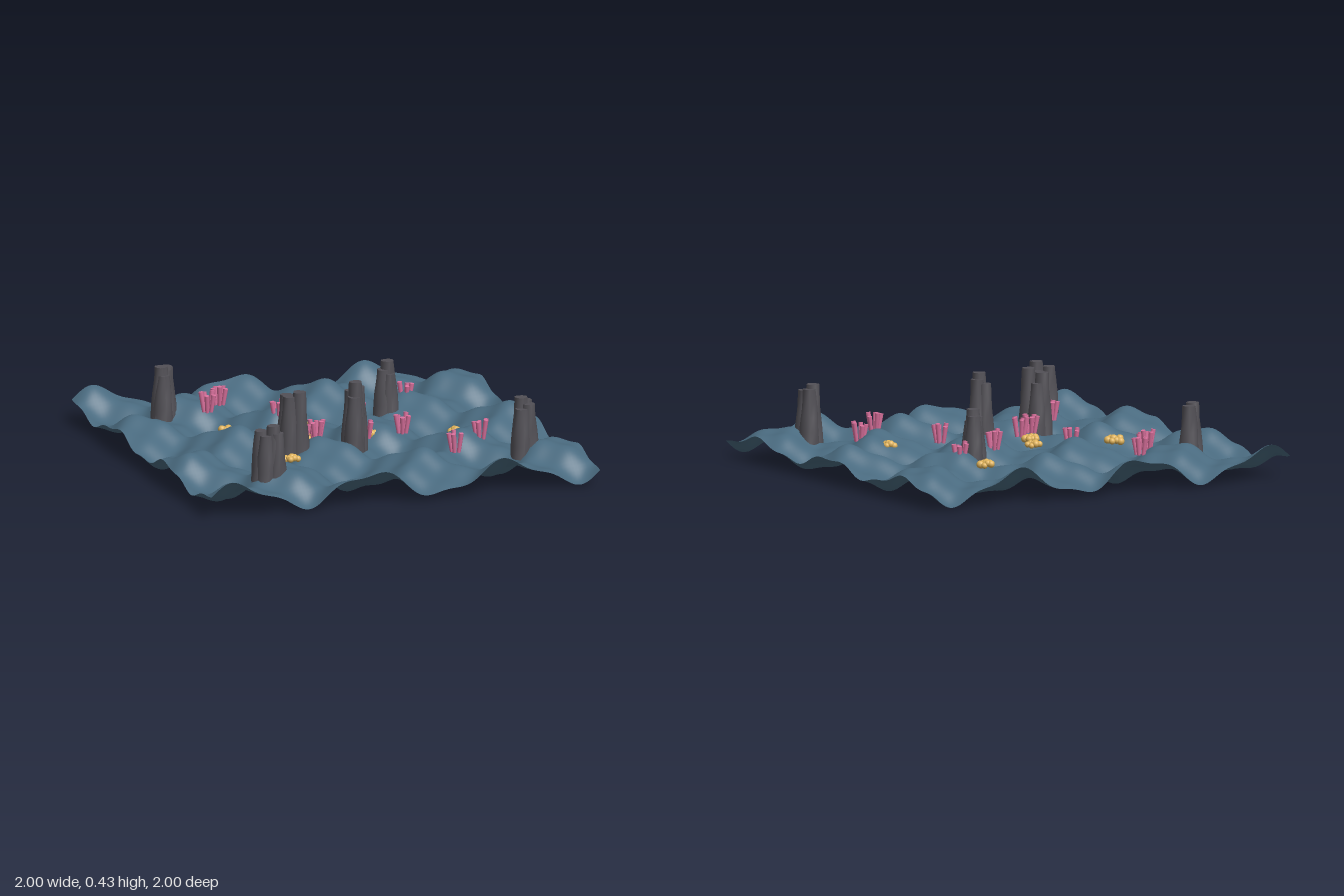
import * as THREE from 'three';

const BASE = 0.095; // mean level of the sea floor

// Small seeded generator, returns values in [-1, 1]
function makeRandom(seed) {
  let s = seed;
  return () => {
    s = (s * 16807) % 2147483647;
    return (s / 2147483647) * 2 - 1;
  };
}

// Crossed sine waves, a broad one and a finer one
function floorHeight(x, z) {
  return BASE + 0.075 * Math.sin(9 * x) * Math.cos(9 * z)
    + 0.02 * Math.sin(22.5 * x) * Math.cos(22.5 * z);
}

function add(parent, name, geometry, material, x, y, z) {
  const mesh = new THREE.Mesh(geometry, material);
  mesh.name = name;
  mesh.position.set(x, y, z);
  parent.add(mesh);
  return mesh;
}

function makeFloor() {
  const geometry = new THREE.PlaneGeometry(2, 2, 120, 120).rotateX(-Math.PI / 2);
  const p = geometry.attributes.position;
  for (let i = 0; i < p.count; i++) p.setY(i, floorHeight(p.getX(i), p.getZ(i)));
  geometry.computeVertexNormals();
  const material = new THREE.MeshStandardMaterial({ color: 0x4a6b80, side: THREE.DoubleSide });
  const floor = new THREE.Mesh(geometry, material);
  floor.name = 'seaFloor';
  return floor;
}

// Bundle of tapered chimneys, the first one being the tallest
function makeVent(chimneys, material) {
  const vent = new THREE.Group();
  vent.name = 'rockVent';
  for (const [dx, dz, top] of chimneys) {
    const bottom = BASE - 0.01;
    const height = top - bottom;
    const geometry = new THREE.CylinderGeometry(0.031, 0.052, height, 14, 4);
    // Slight waviness of the rock skin
    const p = geometry.attributes.position;
    for (let i = 0; i < p.count; i++) {
      const x = p.getX(i), y = p.getY(i), z = p.getZ(i);
      const k = 1 + 0.07 * Math.sin(3 * Math.atan2(z, x) + 25 * y + 90 * dx);
      p.setXYZ(i, x * k, y, z * k);
    }
    geometry.computeVertexNormals();
    add(vent, 'chimney', geometry, material, dx, bottom + height / 2, dz);
  }
  return vent;
}

// Ring of five tubes leaning outwards
function makeTubeCoral(material, random) {
  const coral = new THREE.Group();
  coral.name = 'tubeCoral';
  const turn = random() * Math.PI;
  for (let i = 0; i < 5; i++) {
    const a = turn + (i / 5) * Math.PI * 2;
    const length = 0.092 + 0.01 * random();
    const geometry = new THREE.CylinderGeometry(0.012, 0.009, length, 10);
    const tube = add(coral, 'tube', geometry, material,
      0.026 * Math.cos(a), length / 2, 0.026 * Math.sin(a));
    const out = new THREE.Vector3(0.16 * Math.cos(a), 1, 0.16 * Math.sin(a)).normalize();
    tube.quaternion.setFromUnitVectors(new THREE.Vector3(0, 1, 0), out);
  }
  return coral;
}

// Loose heap of small balls
function makeSponge(width, depth, material, random) {
  const sponge = new THREE.Group();
  sponge.name = 'ballSponge';
  for (let i = 0; i < 9; i++) {
    const a = i * 2.4;
    const r = Math.sqrt((i + 0.3) / 9);
    const ball = new THREE.SphereGeometry(0.017 + 0.003 * random(), 14, 10);
    add(sponge, 'ball', ball, material,
      width * r * Math.cos(a), 0.008 * (1 - r) + 0.005 * random(), depth * r * Math.sin(a));
  }
  return sponge;
}

export function createModel() {
  const model = new THREE.Group();
  model.name = 'seabed';
  const random = makeRandom(77);
  const rock = new THREE.MeshStandardMaterial({ color: 0x525056 });
  const pink = new THREE.MeshStandardMaterial({ color: 0xd9709c });
  const gold = new THREE.MeshStandardMaterial({ color: 0xdfb25a });

  model.add(makeFloor());

  // Rock vents: x, z, then chimneys as offset x, offset z, top height
  const vents = [
    [0, 0.27, [[0, 0.01, 0.43], [-0.01, -0.025, 0.38], [0.02, -0.01, 0.4], [-0.015, 0.03, 0.36]]],
    [-0.34, 0.31, [[0.03, 0.025, 0.42], [-0.02, 0.02, 0.4], [-0.02, -0.02, 0.4], [0.01, -0.025, 0.35]]],
    [-0.61, 0.73, [[0.02, 0.01, 0.375], [-0.035, -0.015, 0.35], [-0.02, 0.015, 0.33], [0.035, 0.02, 0.34]]],
    [0.73, 0.65, [[-0.01, -0.005, 0.38], [0.02, 0.02, 0.35], [-0.02, 0.03, 0.33], [0.02, -0.025, 0.36]]],
    [0.37, -0.31, [[0.005, 0.005, 0.36], [-0.02, 0.015, 0.32], [0.015, -0.02, 0.33], [0.005, 0.025, 0.3]]],
    [-0.67, -0.61, [[-0.015, 0.01, 0.35], [0.025, -0.025, 0.34], [-0.01, 0.025, 0.31], [0.015, -0.01, 0.33]]],
  ];
  for (const [x, z, chimneys] of vents) {
    const vent = makeVent(chimneys, rock);
    vent.position.set(x, 0, z);
    model.add(vent);
  }

  // Tube corals
  const corals = [
    [-0.37, -0.64], [-0.47, -0.53], [-0.2, -0.27], [0.16, -0.14], [0.5, -0.4], [-0.15, 0.14],
    [-0.25, 0.21], [0.08, 0.2], [0.28, 0.17], [0.6, 0.4], [0.4, 0.6], [-0.53, 0.5],
  ];
  for (const [x, z] of corals) {
    const coral = makeTubeCoral(pink, random);
    coral.position.set(x, 0.122, z);
    model.add(coral);
  }

  // Ball sponges: x, z, half width, half depth
  const sponges = [
    [0.42, -0.51, 0.027, 0.036], [-0.5, -0.17, 0.037, 0.036], [-0.09, -0.1, 0.036, 0.03],
    [-0.17, 0.07, 0.03, 0.035], [0.13, 0.11, 0.03, 0.03], [0.53, 0.23, 0.033, 0.025],
    [-0.4, 0.46, 0.038, 0.03],
  ];
  for (const [x, z, width, depth] of sponges) {
    const sponge = makeSponge(width, depth, gold, random);
    sponge.position.set(x, 0.12, z);
    model.add(sponge);
  }
  return model;
}
